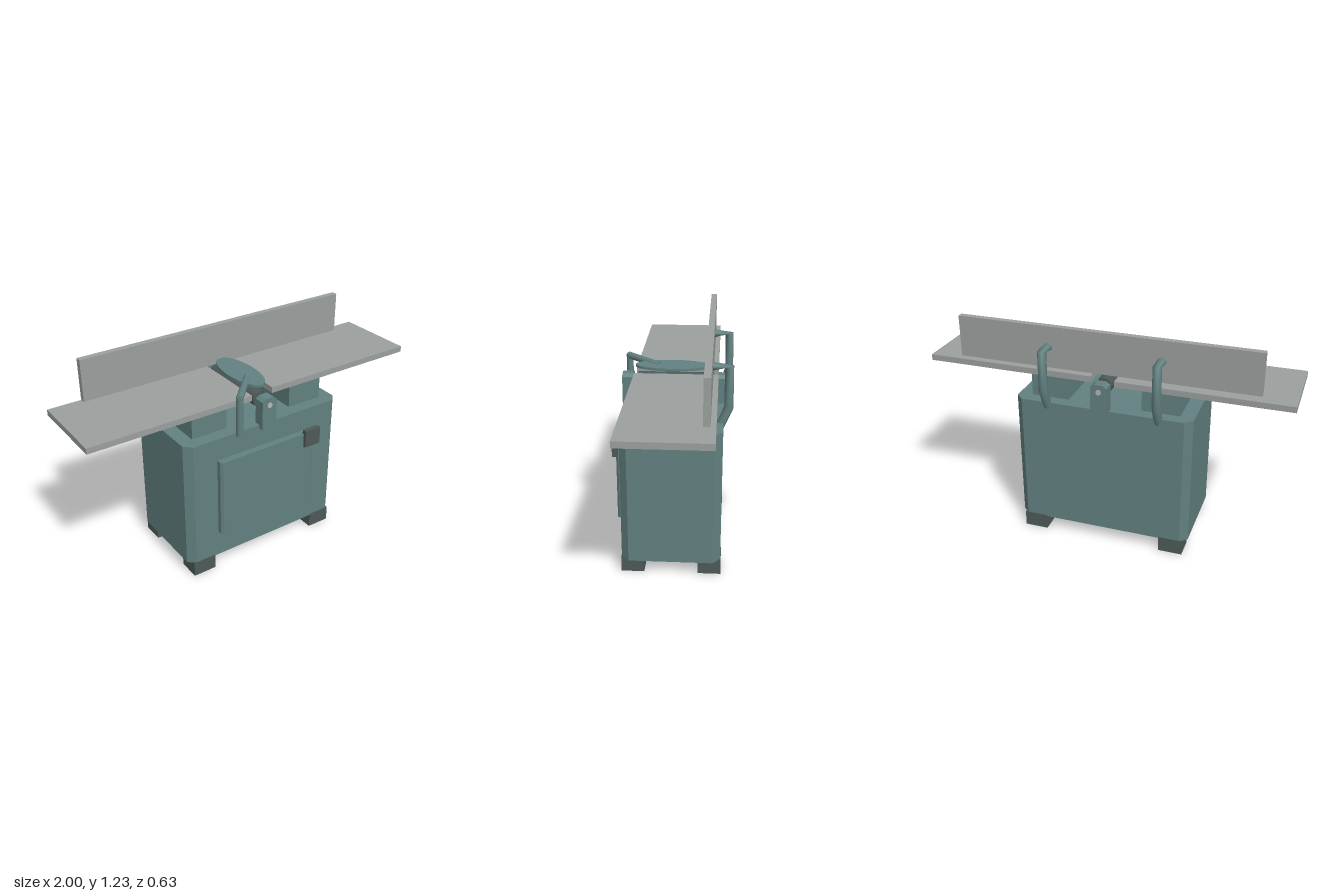
import * as THREE from 'three';

const material = (name, color) => {
  const m = new THREE.MeshStandardMaterial({ color });
  m.name = name;
  return m;
};

export function createModel() {
  const model = new THREE.Group();
  model.name = 'jointerMachine';
  const teal = material('tealPaint', 0x628080);
  const steel = material('tableSteel', 0x9b9f9d);
  const dark = material('darkRubber', 0x4d5a59);
  const silver = material('shaftSilver', 0xb4b6b5);

  const add = (name, geometry, mat) => {
    const mesh = new THREE.Mesh(geometry, mat);
    mesh.name = name;
    model.add(mesh);
    return mesh;
  };

  // Box given by its limits on each axis
  const box = (name, [x0, x1], [y0, y1], [z0, z1], mat) => {
    const mesh = add(name, new THREE.BoxGeometry(x1 - x0, y1 - y0, z1 - z0), mat);
    mesh.position.set((x0 + x1) / 2, (y0 + y1) / 2, (z0 + z1) / 2);
    return mesh;
  };

  // Upright block whose four vertical edges are chamfered by c
  const chamferedBlock = (name, [x0, x1], [y0, y1], [z0, z1], c, mat) => {
    const outline = [
      [x0 + c, -z1], [x1 - c, -z1], [x1, -z1 + c], [x1, -z0 - c],
      [x1 - c, -z0], [x0 + c, -z0], [x0, -z0 - c], [x0, -z1 + c],
    ].map(([x, y]) => new THREE.Vector2(x, y));
    const g = new THREE.ExtrudeGeometry(new THREE.Shape(outline), { depth: y1 - y0, bevelEnabled: false });
    g.rotateX(-Math.PI / 2).translate(0, y0, 0);
    return add(name, g, mat);
  };

  // Round bar between two points
  const bar = (name, from, to, r, mat, sides = 16) => {
    const a = new THREE.Vector3(...from), b = new THREE.Vector3(...to);
    const mesh = add(name, new THREE.CylinderGeometry(r, r, a.distanceTo(b), sides), mat);
    mesh.position.copy(a).add(b).multiplyScalar(0.5);
    mesh.quaternion.setFromUnitVectors(new THREE.Vector3(0, 1, 0), b.sub(a).normalize());
    return mesh;
  };

  // Cabinet with door, switch and feet
  chamferedBlock('cabinet', [-0.493, 0.493], [0.08, 0.82], [-0.268, 0.262], 0.04, teal);
  chamferedBlock('cabinetDoor', [-0.31, 0.306], [0.235, 0.692], [0.24, 0.3], 0.013, teal);
  box('switchBox', [0.23, 0.33], [0.613, 0.715], [0.29, 0.317], dark);
  for (const s of [-1, 1]) {
    const xs = s < 0 ? [-0.47, -0.335] : [0.335, 0.468];
    box('frontFoot', xs, [0, 0.087], [0.14, 0.264], dark);
    box('backFoot', xs, [0, 0.087], [-0.271, -0.147], dark);
  }

  // Tables on their pedestals, the infeed side slightly lower
  box('infeedPedestal', [-0.415, -0.205], [0.81, 0.952], [-0.2, 0.19], teal);
  box('outfeedPedestal', [0.205, 0.415], [0.81, 0.962], [-0.2, 0.19], teal);
  box('infeedTable', [-1, -0.065], [0.95, 0.982], [-0.236, 0.221], steel);
  box('outfeedTable', [0.065, 1], [0.96, 0.993], [-0.236, 0.221], steel);

  // Cutter head, its shaft and the two bearing blocks
  bar('cutterHead', [0, 0.937, -0.213], [0, 0.937, 0.205], 0.045, dark, 24);
  bar('cutterShaft', [0, 0.937, -0.3], [0, 0.937, 0.294], 0.015, silver);
  const block = new THREE.Shape([
    [-0.045, 0.8], [0.045, 0.8], [0.045, 0.962], [0.025, 0.978], [-0.025, 0.978], [-0.045, 0.962],
  ].map(([x, y]) => new THREE.Vector2(x, y)));
  for (const [name, z] of [['frontBearingBlock', 0.228], ['backBearingBlock', -0.298]]) {
    const g = new THREE.ExtrudeGeometry(block, { depth: 0.062, bevelEnabled: false });
    add(name, g, teal).position.z = z;
  }

  // Fence
  box('fence', [-0.825, 0.825], [1, 1.23], [-0.209, -0.175], steel);

  // Bent fence arms: each ring is [y, z, tilt in degrees], from fence to cabinet
  const rings = [[1.118, -0.2, 90], [1.12, -0.291, 12], [0.903, -0.294, -18], [0.785, -0.244, -30]];
  for (const x of [-0.31, 0.31]) {
    const g = new THREE.CylinderGeometry(0.024, 0.024, 3, 16, 3);
    const p = g.attributes.position;
    for (let i = 0; i < p.count; i++) {
      const [y, z, tilt] = rings[Math.round(1.5 - p.getY(i))];
      const a = THREE.MathUtils.degToRad(tilt), offset = p.getZ(i);
      p.setY(i, y - Math.sin(a) * offset);
      p.setZ(i, z + Math.cos(a) * offset);
    }
    g.computeVertexNormals();
    add('fenceArm', g, teal).position.x = x;
  }

  // Oval cutter guard carried by a post and swing arm
  const oval = new THREE.Shape().absellipse(0, 0, 0.082, 0.2, 0, Math.PI * 2);
  const guard = new THREE.ExtrudeGeometry(oval, { depth: 0.014, bevelEnabled: false, curveSegments: 16 });
  guard.rotateX(-Math.PI / 2);
  add('cutterGuard', guard, teal).position.set(0, 1.012, 0.017);
  bar('guardPost', [-0.175, 0.8, 0.27], [-0.175, 1.03, 0.27], 0.019, teal);
  bar('guardArm', [-0.182, 1.019, 0.277], [-0.005, 1.019, 0.09], 0.019, teal);

  return model;
}
